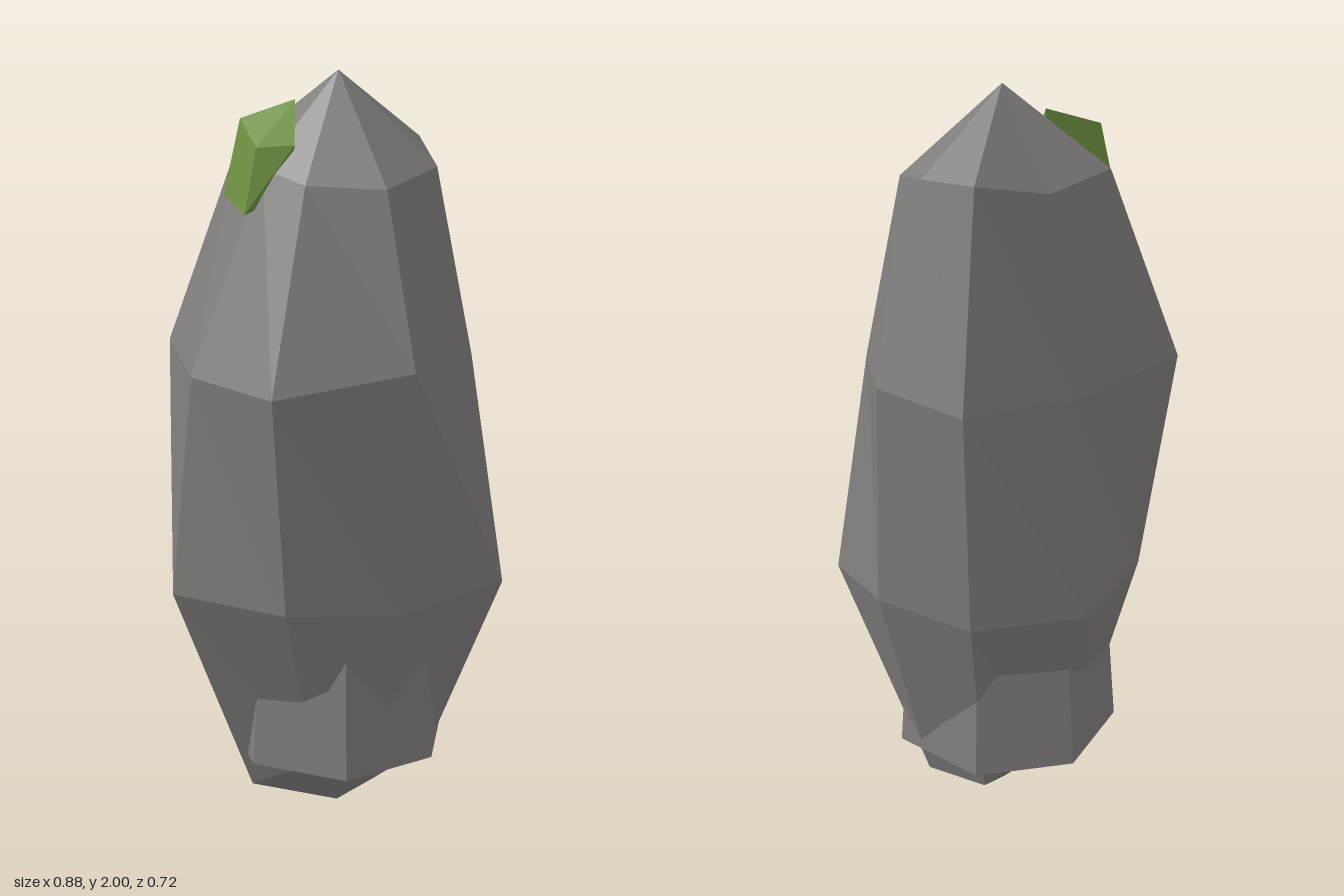
import * as THREE from 'three';
import { ConvexGeometry } from 'three/addons/geometries/ConvexGeometry.js';

const rockGrey = new THREE.MeshStandardMaterial({ color: 0x807d7c, flatShading: true });
rockGrey.name = 'rock grey';
const mossGreen = new THREE.MeshStandardMaterial({ color: 0x6e9142, flatShading: true });
mossGreen.name = 'moss green';

const CENTRE_X = 0.04;
const CENTRE_Z = -0.01;
const DEPTH = 0.8; // the boulder is shallower than it is wide

// [radius, height] from the top ring down; columns run W, SW, S, SE, E, NE, N, NW
const RINGS = [
  [[0.21, 1.78], [0.24, 1.76], [0.288, 1.75], [0.27, 1.77], [0.235, 1.815], [0.29, 1.84], [0.23, 1.78], [0.285, 1.79]],
  [[0.415, 1.285], [0.48, 1.29], [0.46, 1.33], [0.375, 1.295], [0.38, 1.32], [0.425, 1.31], [0.365, 1.29], [0.48, 1.3]],
  [[0.48, 0.72], [0.395, 0.7], [0.405, 0.68], [0.48, 0.68], [0.395, 0.73], [0.375, 0.69], [0.435, 0.7], [0.39, 0.7]],
  [[0.26, 0.12], [0.2, 0.2], [0.26, 0.17], [0.275, 0.185], [0.25, 0.145], [0.235, 0.125], [0.21, 0.19], [0.23, 0.16]],
];

function createBoulder() {
  const sides = 8;
  const geometry = new THREE.SphereGeometry(1, sides, RINGS.length + 1);
  const position = geometry.attributes.position;
  for (let i = 0; i < position.count; i++) {
    const row = Math.floor(i / (sides + 1));
    const column = i % (sides + 1) % sides;
    const ring = RINGS[row - 1];
    if (!ring) { // top and bottom points
      position.setXYZ(i, CENTRE_X, row === 0 ? 2 : 0, CENTRE_Z);
      continue;
    }
    const [radius, y] = ring[column];
    const angle = (column / sides) * Math.PI * 2;
    position.setXYZ(i, CENTRE_X - Math.cos(angle) * radius, y, CENTRE_Z + Math.sin(angle) * radius * DEPTH);
  }
  geometry.computeVertexNormals();
  const mesh = new THREE.Mesh(geometry, rockGrey);
  mesh.name = 'boulder';
  return mesh;
}

// Seven-sided plinth stone that pokes out around the foot of the boulder
function createBaseStone() {
  const bottom = 0.22, top = 0.6;
  const geometry = new THREE.CylinderGeometry(0.272, 0.3, top - bottom, 7, 1, false, Math.PI);
  const mesh = new THREE.Mesh(geometry, rockGrey);
  mesh.name = 'baseStone';
  mesh.position.set(CENTRE_X, (top + bottom) / 2, CENTRE_Z);
  return mesh;
}

// Faceted clump of moss near the peak, partly sunk in the rock
function createMoss() {
  const corners = [
    [-0.193, 1.835, 0], [-0.175, 1.885, -0.115], [-0.055, 1.93, -0.055],
    [-0.11, 1.84, 0.04], [-0.238, 1.68, 0.02], [-0.22, 1.7, -0.12], [-0.08, 1.7, -0.04],
  ].map((p) => new THREE.Vector3(...p));
  const mesh = new THREE.Mesh(new ConvexGeometry(corners), mossGreen);
  mesh.name = 'mossClump';
  return mesh;
}

export function createModel() {
  const model = new THREE.Group();
  model.name = 'mossyStandingStone';
  model.add(createBoulder(), createBaseStone(), createMoss());
  return model;
}
